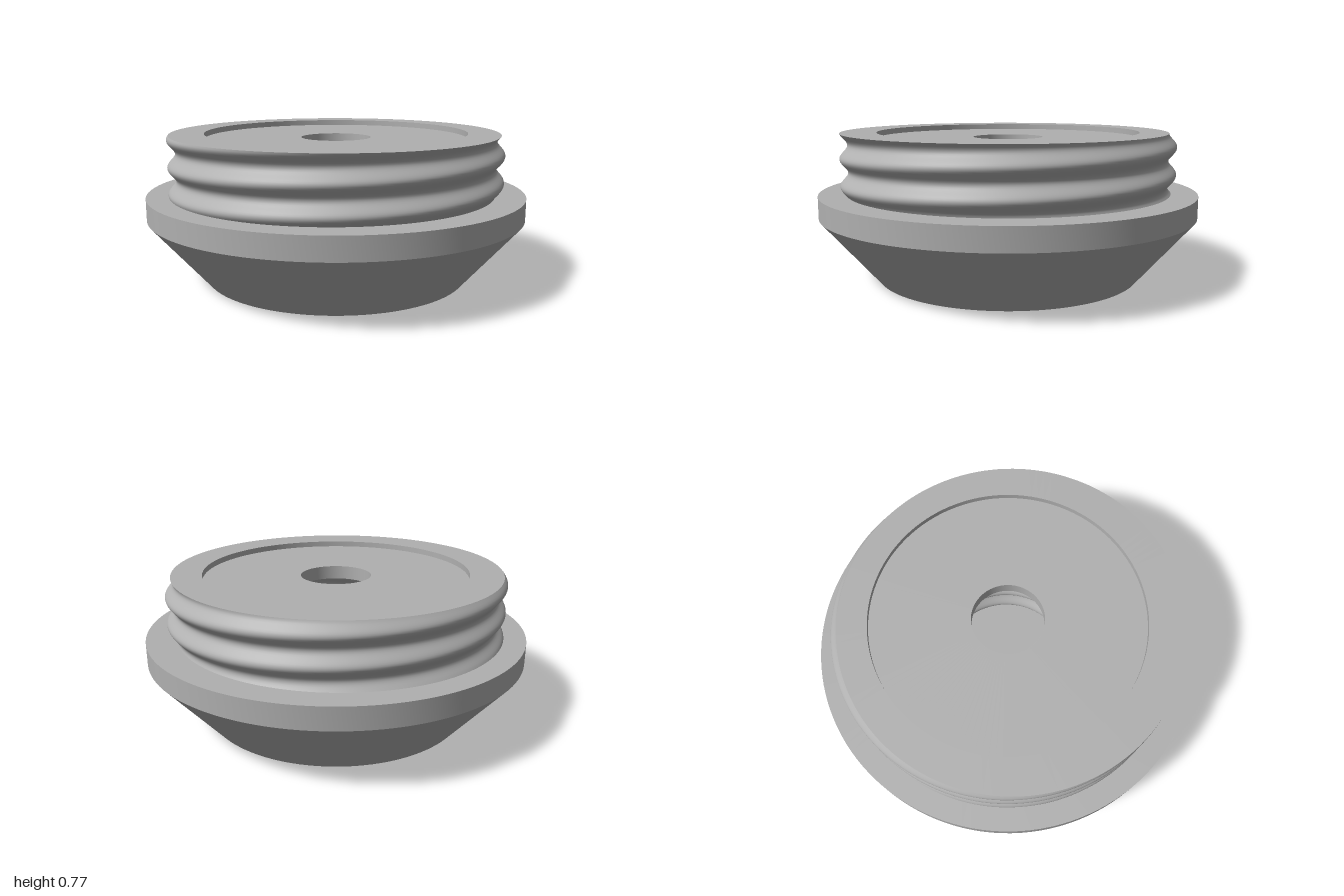
import * as THREE from 'three';
import { mergeVertices } from 'three/addons/utils/BufferGeometryUtils.js';

const SEGMENTS = 128;
const PITCH = 0.142;

// Right-handed helical thread: radius at a height and angle
const thread = (mean, depth, crest) => (y, phi) =>
  mean + depth * Math.cos(2 * Math.PI * (y - crest) / PITCH - phi);
const outerThread = thread(0.865, 0.021, 0.648);
const innerThread = thread(0.371, 0.02, 0.3);

export function createModel() {
  const model = new THREE.Group();
  model.name = 'threadedPlug';
  const grey = new THREE.MeshStandardMaterial({ color: 0xb0b0b0 });
  grey.name = 'plain grey';

  // One smooth revolved band; a radius may be a number or a function of (y, angle)
  function band(name, from, to, rows = 1) {
    const points = [];
    for (let i = 0; i <= rows; i++) points.push(new THREE.Vector2(i / rows, i));
    let geo = new THREE.LatheGeometry(points, SEGMENTS);
    const pos = geo.attributes.position;
    const radius = (r, y, phi) => (typeof r === 'function' ? r(y, phi) : r);
    for (let i = 0; i < pos.count; i++) {
      const row = i % (rows + 1);
      const column = Math.floor(i / (rows + 1)) % SEGMENTS;
      const phi = column / SEGMENTS * Math.PI * 2;
      const t = row / rows;
      const y = THREE.MathUtils.lerp(from[1], to[1], t);
      const r = THREE.MathUtils.lerp(radius(from[0], y, phi), radius(to[0], y, phi), t);
      pos.setXYZ(i, r * Math.sin(phi), y, r * Math.cos(phi));
    }
    // Weld the seam so the shading runs round unbroken
    geo.deleteAttribute('uv');
    geo.deleteAttribute('normal');
    geo = mergeVertices(geo);
    geo.computeVertexNormals();
    const mesh = new THREE.Mesh(geo, grey);
    mesh.name = name;
    model.add(mesh);
  }

  // Tapered base and flange
  band('taperedBase', [0.705, 0], [1, 0.342]);
  band('flangeRim', [1, 0.342], [1, 0.455]);
  band('flangeTop', [1, 0.455], [0.83, 0.455]);

  // Threaded neck with a shallow recess in its top
  band('outerThread', [outerThread, 0.455], [outerThread, 0.77], 40);
  band('topRim', [outerThread, 0.77], [0.695, 0.77]);
  band('recessWall', [0.695, 0.77], [0.695, 0.74]);
  band('recessFloor', [0.695, 0.74], [0.185, 0.74]);

  // Hole through the top into the threaded bore
  band('holeWall', [0.185, 0.74], [0.185, 0.67]);
  band('boreCeiling', [0.185, 0.67], [0.4, 0.67]);
  band('innerThread', [innerThread, 0.67], [innerThread, 0.035], 80);
  band('boreChamfer', [innerThread, 0.035], [0.41, 0]);
  band('underside', [0.41, 0], [0.705, 0]);

  return model;
}
